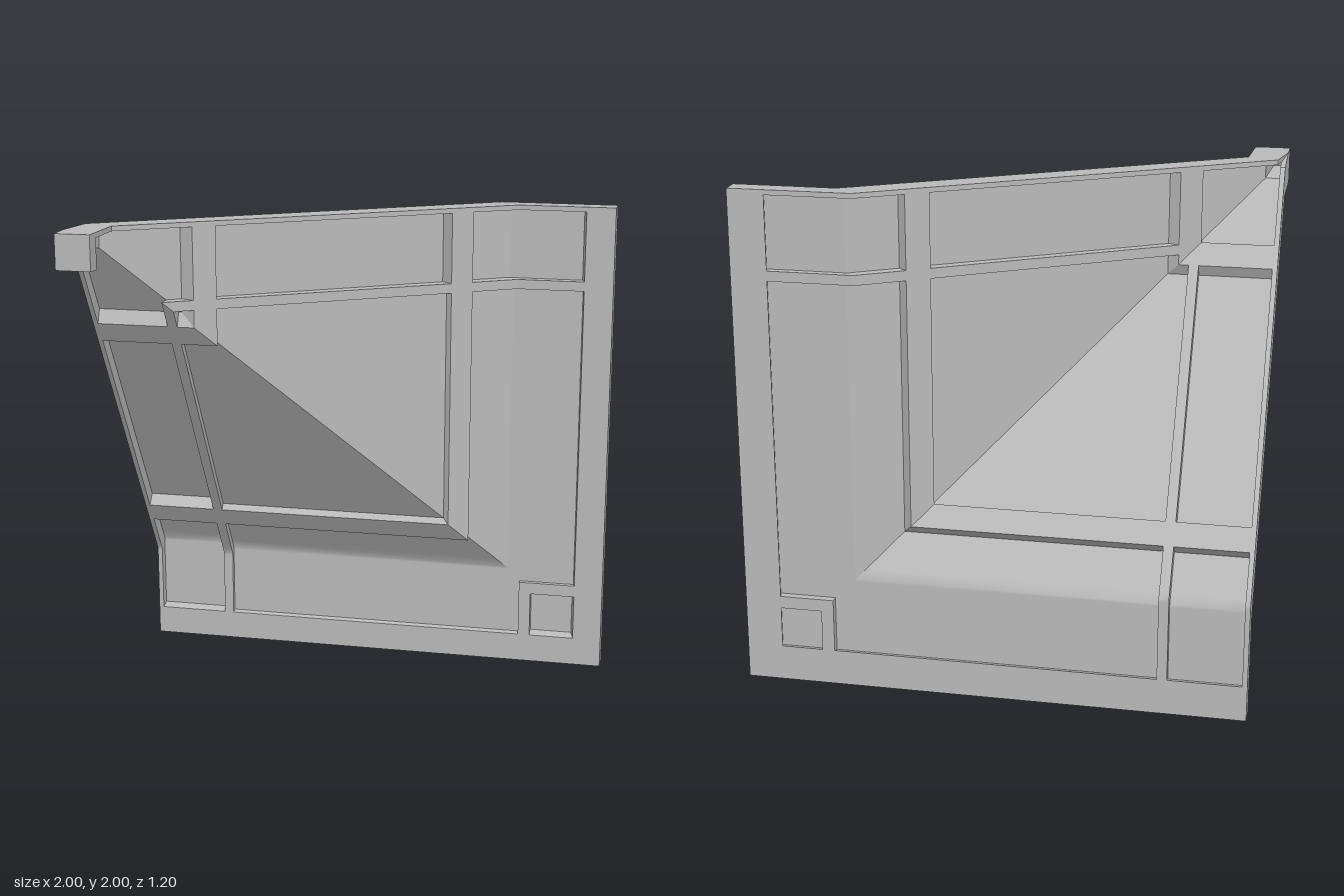
import * as THREE from 'three';
import { toCreasedNormals } from 'three/addons/utils/BufferGeometryUtils.js';

// Matching front and back outlines of the shell in (x, z), from plate edge to tip
const FRONT = [[1, -0.52], [0.6, -0.52], [-0.85, 0.38], [-0.857, 0.54], [-0.86, 0.6]];
const BACK = [[1, -0.6], [0.52, -0.6], [-0.97, 0.34], [-1, 0.5], [-1, 0.6]];

// Rib and panel boundaries along the outline (front x) and up the height
const XS = [1, 0.88, 0.69, 0.64, 0.61, 0.6, 0.56, 0.43, 0.35, -0.5, -0.58, -0.85, -0.857, -0.86];
const YS = [0, 0.31, 0.36, 1.65, 1.69, 1.98, 2];

const lerp = THREE.MathUtils.lerp;

// Point in the shell: t = 0 on the front skin, t = 1 on the back skin
function shellPoint(x, y, t) {
  let i = 0;
  while (i < FRONT.length - 2 && x < FRONT[i + 1][0]) i++;
  const k = (x - FRONT[i][0]) / (FRONT[i + 1][0] - FRONT[i][0]);
  const at = (line, c) => lerp(line[i][c], line[i + 1][c], k);
  return [lerp(at(FRONT, 0), at(BACK, 0), t), y, lerp(at(FRONT, 1), at(BACK, 1), t)];
}

// Keeps the part of a polygon on the upper right of the mitre x + y = 1
function clipToMitre(poly) {
  const out = [];
  const side = (p) => p[0] + p[1] - 1;
  poly.forEach((p, i) => {
    const q = poly[(i + 1) % poly.length];
    const a = side(p), b = side(q);
    if (a >= -1e-7) out.push(p);
    if ((a > 1e-7 && b < -1e-7) || (a < -1e-7 && b > 1e-7)) {
      const k = a / (a - b);
      out.push(p.map((v, c) => lerp(v, q[c], k)));
    }
  });
  return out;
}

// Front and back recess of a cell, or null where it is a rib
function recess(i, j) {
  if (i < 0 || j < 0 || i >= XS.length - 1 || j >= YS.length - 1) return null;
  const x = (XS[i] + XS[i + 1]) / 2, y = (YS[j] + YS[j + 1]) / 2;
  const within = (v, a, b) => v > a && v < b;
  if (x > 0.88 || x < -0.857 || y > 1.98) return null;
  if (within(y, 1.65, 1.69) || within(x, 0.35, 0.43) || within(x, -0.58, -0.5)) return null;
  if (x > 0.64 && y < 0.36 && (y > 0.31 || x < 0.69)) return null;
  const deep = y > 1.69 || x < -0.58 || y < 0.31;
  return { front: deep ? 0.5 : 0.27, back: 0.6 };
}

function toGeometry(polys, mirrored) {
  const pos = [];
  for (const poly of polys) {
    for (let i = 1; i < poly.length - 1; i++) {
      let tri = [poly[0], poly[i], poly[i + 1]];
      const [a, b, c] = tri.map((p) => new THREE.Vector3(...p));
      if (b.sub(a).cross(c.sub(a)).length() < 1e-8) continue;
      if (mirrored) tri = tri.map(([x, y, z]) => [1 - y, 1 - x, z]).reverse();
      tri.forEach((p) => pos.push(...p));
    }
  }
  const geo = new THREE.BufferGeometry();
  geo.setAttribute('position', new THREE.Float32BufferAttribute(pos, 3));
  return toCreasedNormals(geo, THREE.MathUtils.degToRad(36));
}

export function createModel() {
  const grey = new THREE.MeshStandardMaterial({ color: 0xbababa });
  grey.name = 'plain grey';

  const ribs = [], panels = [];
  for (let i = 0; i < XS.length - 1; i++) {
    for (let j = 0; j < YS.length - 1; j++) {
      const [x0, x1, y0, y1] = [XS[i], XS[i + 1], YS[j], YS[j + 1]];
      const panel = recess(i, j);
      const list = panel ? panels : ribs;
      const add = (flip, ...corners) => {
        const poly = clipToMitre(corners.map((c) => shellPoint(...c)));
        if (poly.length > 2) list.push(flip ? poly.reverse() : poly);
      };
      // Front and back skins
      const f = panel ? panel.front : 0, b = panel ? panel.back : 1;
      add(false, [x1, y0, f], [x0, y0, f], [x0, y1, f], [x1, y1, f]);
      add(true, [x1, y0, b], [x0, y0, b], [x0, y1, b], [x1, y1, b]);
      if (panel) continue;
      // Rib sides, where a panel or the outer edge adjoins
      const open = (di, dj) => {
        const n = i + di, m = j + dj;
        return n < 0 || m < 0 || n >= XS.length - 1 || m >= YS.length - 1 || recess(n, m);
      };
      for (const [x, d] of [[x0, -1], [x1, 1]]) {
        if (open(d, 0)) add(d > 0, [x, y0, 0], [x, y0, 1], [x, y1, 1], [x, y1, 0]);
      }
      for (const [y, d] of [[y1, 1], [y0, -1]]) {
        if (open(0, d)) add(d < 0, [x1, y, 0], [x0, y, 0], [x0, y, 1], [x1, y, 1]);
      }
    }
  }

  // The two wings mirror each other across the mitre
  const model = new THREE.Group();
  model.name = 'panelledCorner';
  for (const [name, mirrored] of [['sideWing', false], ['lowerWing', true]]) {
    const wing = new THREE.Group();
    wing.name = name;
    for (const [part, polys] of [['ribFrame', ribs], ['recessedPanels', panels]]) {
      const mesh = new THREE.Mesh(toGeometry(polys, mirrored), grey);
      mesh.name = part;
      wing.add(mesh);
    }
    model.add(wing);
  }
  return model;
}
